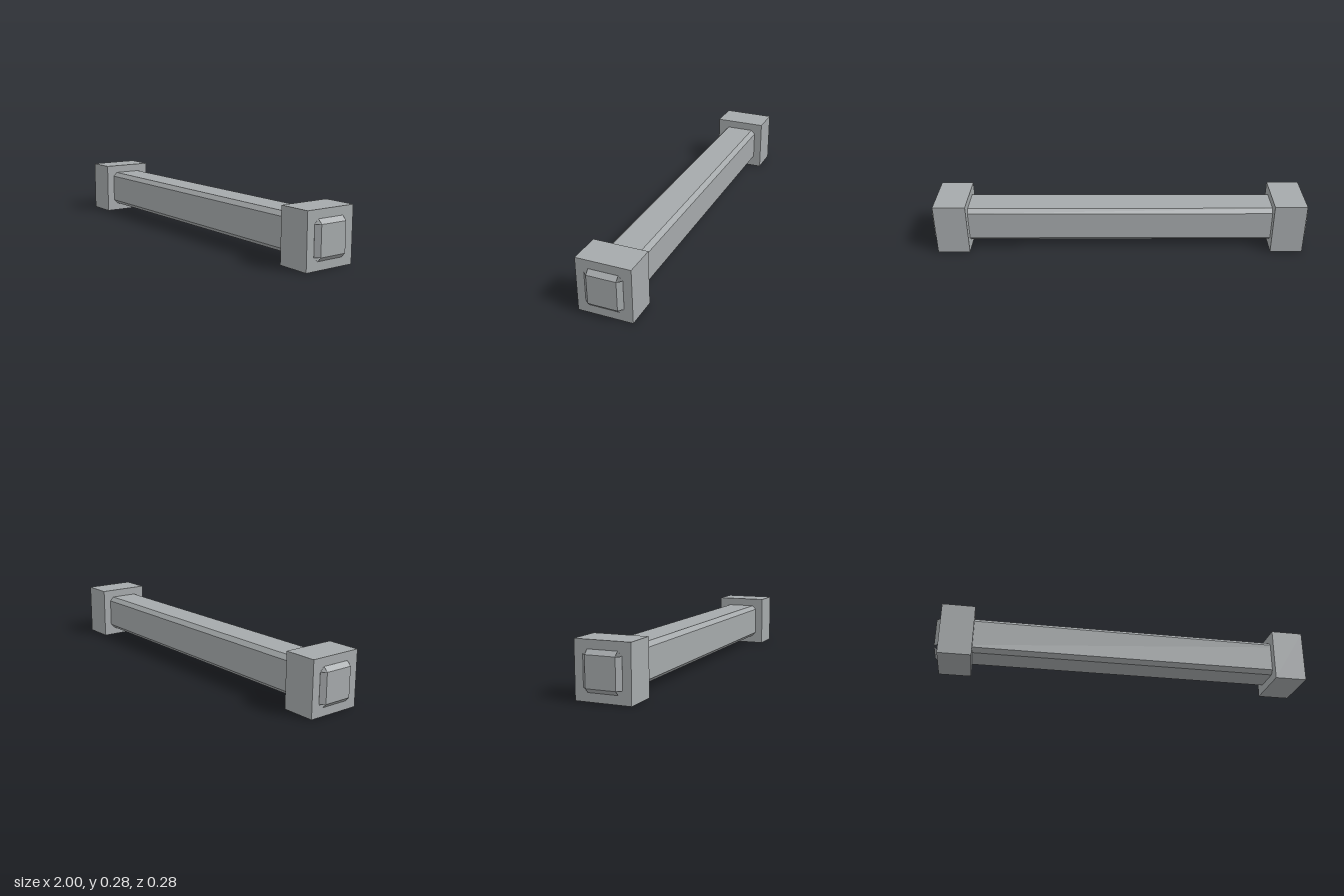
import * as THREE from 'three';

const HALF = [1, 0.096, 0.096]; // bar half sizes along x, y, z
const BEVEL = 0.0215;
const MID = 0.1385; // height of the bar's axis

// Chamfered bar: six faces and twelve edge bevels, with the corners left open
function chamferedBar() {
  const positions = [];
  // Point lying on face (axis, sign), at the corner given by signs
  const corner = (axis, signs) =>
    new THREE.Vector3(...signs.map((s, i) => s * (HALF[i] - (i === axis ? 0 : BEVEL))));

  // Adds a quad wound so that it faces away from the centre
  const quad = (a, b, c, d) => {
    const normal = b.clone().sub(a).cross(c.clone().sub(a));
    const middle = a.clone().add(c);
    const p = normal.dot(middle) > 0 ? [a, b, c, a, c, d] : [a, c, b, a, d, c];
    p.forEach((v) => positions.push(v.x, v.y, v.z));
  };

  for (let i = 0; i < 3; i++) {
    const j = (i + 1) % 3, k = (i + 2) % 3;
    const signs = (si, sj, sk) => {
      const s = [0, 0, 0];
      s[i] = si; s[j] = sj; s[k] = sk;
      return s;
    };
    for (const s of [-1, 1]) {
      // Flat face across axis i
      quad(corner(i, signs(s, -1, -1)), corner(i, signs(s, 1, -1)),
        corner(i, signs(s, 1, 1)), corner(i, signs(s, -1, 1)));
      // Bevels between faces i and j, running along k
      for (const t of [-1, 1]) {
        quad(corner(i, signs(s, t, -1)), corner(j, signs(s, t, -1)),
          corner(j, signs(s, t, 1)), corner(i, signs(s, t, 1)));
      }
    }
  }
  const geometry = new THREE.BufferGeometry();
  geometry.setAttribute('position', new THREE.Float32BufferAttribute(positions, 3));
  geometry.computeVertexNormals();
  return geometry;
}

export function createModel() {
  const model = new THREE.Group();
  model.name = 'beam';
  const grey = new THREE.MeshStandardMaterial({ color: 0xa5a9ab });
  grey.name = 'steel grey';

  // Long bar
  const bar = new THREE.Mesh(chamferedBar(), grey);
  bar.name = 'bar';
  bar.position.y = MID;
  model.add(bar);

  // Square collar near each end
  const collarGeometry = new THREE.BoxGeometry(0.17, 2 * MID, 2 * MID);
  for (const [side, name] of [[1, 'leftCollar'], [-1, 'rightCollar']]) {
    const collar = new THREE.Mesh(collarGeometry, grey);
    collar.name = name;
    collar.position.set(side * 0.893, MID, 0);
    model.add(collar);
  }
  return model;
}
